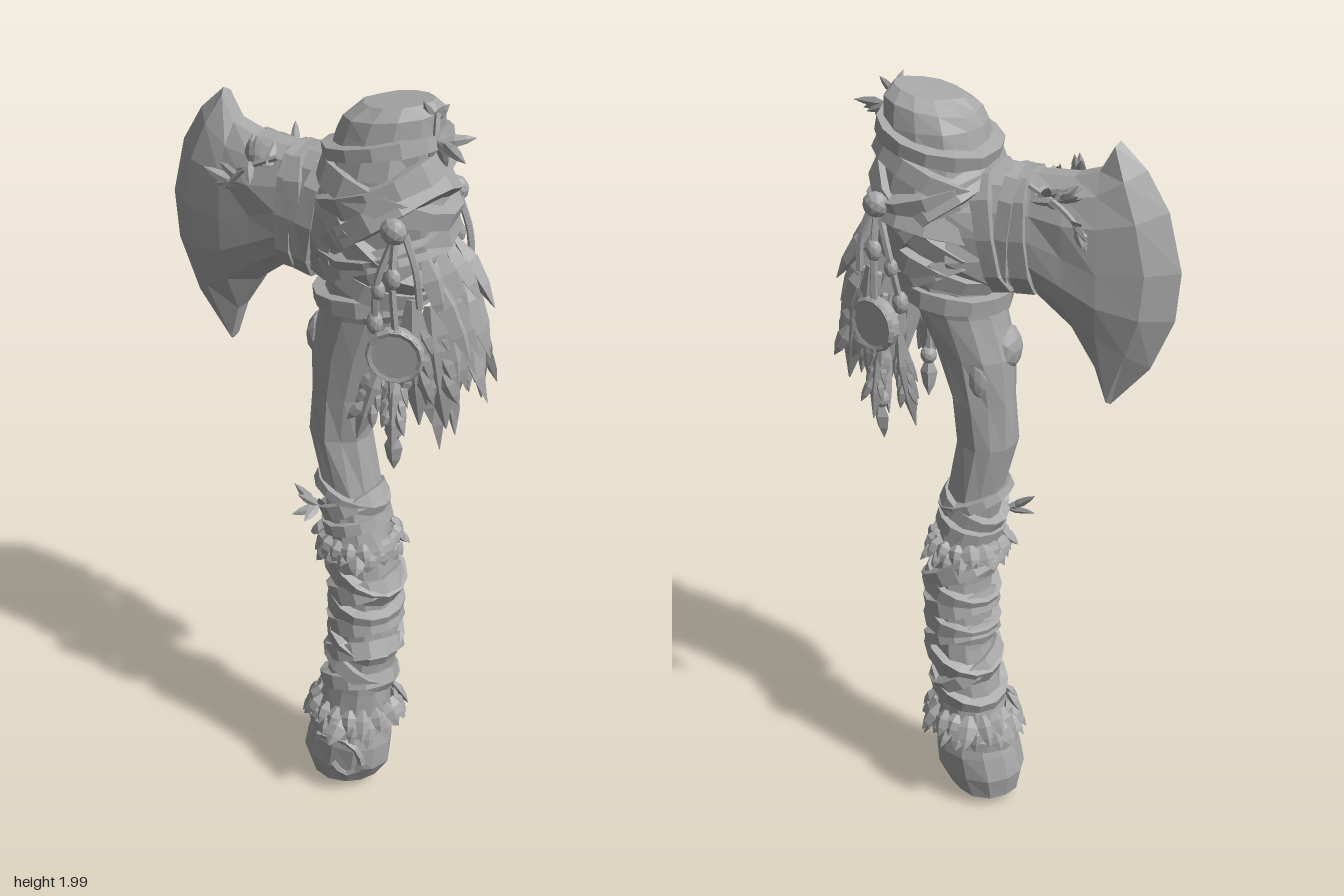
import * as THREE from 'three';
import { mergeGeometries } from 'three/addons/utils/BufferGeometryUtils.js';

const V = (x, y, z) => new THREE.Vector3(x, y, z);
let seed = 7;
const rnd = () => (seed = (seed * 16807) % 2147483647) / 2147483647;
const vary = (v, k = 0.25) => v * (1 + k * (rnd() * 2 - 1));

// Faceted skin through rings of points; 'closed' joins last ring to the first
function loft(rings, closed = false) {
  const tris = [], n = rings[0].length;
  const last = closed ? rings.length : rings.length - 1;
  for (let i = 0; i < last; i++) {
    const a = rings[i], b = rings[(i + 1) % rings.length];
    for (let j = 0; j < n; j++) {
      const k = (j + 1) % n;
      tris.push([a[j], b[j], b[k]], [a[j], b[k], a[k]]);
    }
  }
  if (!closed) [rings[0], rings[rings.length - 1]].forEach((r, end) => {
    const c = r.reduce((s, p) => s.add(p), V(0, 0, 0)).divideScalar(n);
    for (let j = 0; j < n; j++) {
      const k = (j + 1) % n;
      tris.push(end ? [c, r[k], r[j]] : [c, r[j], r[k]]);
    }
  });
  // Turn the skin outward when its enclosed volume comes out negative
  const o = rings[0][0];
  const sub = (p) => p.clone().sub(o);
  const vol = tris.reduce((s, [a, b, c]) => s + sub(a).dot(sub(b).cross(sub(c))), 0);
  const pos = tris.flatMap(([a, b, c]) => (vol < 0 ? [a, c, b] : [a, b, c])).flatMap((p) => p.toArray());
  const g = new THREE.BufferGeometry();
  g.setAttribute('position', new THREE.Float32BufferAttribute(pos, 3));
  g.computeVertexNormals();
  return g;
}

function faceted(geo) {
  const g = geo.index ? geo.toNonIndexed() : geo;
  g.deleteAttribute('uv');
  g.computeVertexNormals();
  return g;
}

// Haft stations: y, centre x, half width in x, half width in z
const haft = [
  [0.005, 0.045, 0.05, 0.04], [0.035, 0.048, 0.092, 0.078], [0.1, 0.06, 0.12, 0.098], [0.17, 0.07, 0.116, 0.1],
  [0.23, 0.075, 0.1, 0.093], [0.35, 0.09, 0.085, 0.086], [0.5, 0.11, 0.083, 0.086], [0.7, 0.11, 0.08, 0.084],
  [0.82, 0.09, 0.076, 0.08], [0.95, 0.065, 0.07, 0.075], [1.1, 0.035, 0.074, 0.078], [1.22, 0.043, 0.083, 0.083],
  [1.34, 0.062, 0.1, 0.09], [1.45, 0.095, 0.108, 0.1], [1.52, 0.125, 0.12, 0.115], [1.62, 0.15, 0.135, 0.128],
  [1.72, 0.155, 0.143, 0.138], [1.82, 0.15, 0.132, 0.13], [1.9, 0.158, 0.12, 0.115], [1.945, 0.168, 0.113, 0.103],
  [1.972, 0.18, 0.085, 0.07],
];
function station(y) {
  let i = 0;
  while (i < haft.length - 2 && haft[i + 1][0] < y) i++;
  const a = haft[i], b = haft[i + 1], t = THREE.MathUtils.clamp((y - a[0]) / (b[0] - a[0]), 0, 1);
  return a.map((v, k) => v + (b[k] - v) * t);
}
function onHaft(y, a, off = 0) {
  const [, cx, rx, rz] = station(y);
  const slope = y > 1.92 ? 0.14 : 0; // the crown is cut at a slant
  return V(cx + (rx + off) * Math.cos(a), y + slope * rx * Math.cos(a), (rz + off) * Math.sin(a));
}

// Flat strap round a loop of points, its outside facing away from the centre
function strap(points, w, t) {
  const c = points.reduce((s, p) => s.add(p), V(0, 0, 0)).divideScalar(points.length), n = points.length;
  return loft(points.map((p, i) => {
    const tan = points[(i + 1) % n].clone().sub(points[(i + n - 1) % n]).normalize();
    const out = p.clone().sub(c);
    out.addScaledVector(tan, -out.dot(tan)).normalize();
    const side = tan.clone().cross(out).multiplyScalar(vary(w, 0.18) / 2);
    const lo = p.clone().addScaledVector(out, -0.02), hi = p.clone().addScaledVector(out, t);
    return [lo.clone().add(side), hi.clone().addScaledVector(side, 0.85), hi.clone().addScaledVector(side, -0.85), lo.clone().sub(side)];
  }), true);
}
function haftStrap(y, tx, tz, w, t = 0.014) {
  const pts = [];
  for (let i = 0; i < 14; i++) {
    const a = (i / 14) * Math.PI * 2;
    pts.push(onHaft(y + tx * Math.cos(a) + tz * Math.sin(a), a, 0.002));
  }
  return strap(pts, w, t);
}

// Pointed blade of leaf or fur
function leaf(base, dir, face, len, w, thick = 0.008) {
  const d = dir.clone().normalize(), s = d.clone().cross(face).normalize(), f = s.clone().cross(d);
  return loft([[0, 0.35], [0.35, 1], [0.7, 0.7], [1, 0.05]].map(([t, k]) => {
    const p = base.clone().addScaledVector(d, t * len).addScaledVector(f, -0.08 * len * t * t);
    return [[1, 0], [0, 1], [-1, 0], [0, -1]].map(([a, b]) =>
      p.clone().addScaledVector(s, a * k * w / 2).addScaledVector(f, b * k * thick));
  }));
}
// Feather: a broad leaf with ragged barbs down both edges
function feather(base, dir, face, len, w) {
  const d = dir.clone().normalize(), s = d.clone().cross(face).normalize();
  const parts = [leaf(base, d, face, len, w, 0.016)];
  for (let i = 0; i < 3; i++) for (const m of [-1, 1]) {
    const p = base.clone().addScaledVector(d, len * (0.2 + i * 0.17)).addScaledVector(s, m * w * 0.15);
    parts.push(leaf(p, d.clone().addScaledVector(s, m * vary(0.35)), face, vary(len * 0.28), w * 0.45));
  }
  return mergeGeometries(parts);
}
function skirt(y, count, len, flare) {
  const parts = [];
  for (let row = 0; row < 2; row++) for (let i = 0; i < count; i++) {
    const a = ((i + row / 2) / count) * Math.PI * 2, out = V(Math.cos(a), 0, Math.sin(a));
    const dir = out.clone().multiplyScalar(vary(flare, 0.4)).add(V((rnd() - 0.5) * 0.5, -1, (rnd() - 0.5) * 0.5));
    parts.push(leaf(onHaft(y + row * 0.025, a, 0.008), dir, out, vary(len), vary(0.05), 0.014));
  }
  return mergeGeometries(parts);
}
function sprig(base, dir, count, len) {
  const parts = [];
  for (let i = 0; i < count; i++) {
    const d = dir.clone().add(V(rnd() - 0.5, rnd() - 0.5, (rnd() - 0.5) * 0.7).multiplyScalar(1.4));
    const p = base.clone().addScaledVector(dir, i / count * 0.05);
    parts.push(leaf(p, d, V(0.2, 0.3, 1), vary(len), len * 0.45, 0.005));
  }
  return mergeGeometries(parts);
}
const cord = (pts, r = 0.009) => faceted(new THREE.TubeGeometry(new THREE.CatmullRomCurve3(pts), 10, r, 5));
function blob(p, sx, sy, sz) {
  return faceted(new THREE.IcosahedronGeometry(1, 1).scale(sx, sy, sz).translate(p.x, p.y, p.z));
}

export function createModel() {
  const root = new THREE.Group();
  root.name = 'axe';
  const stone = new THREE.MeshStandardMaterial({ color: 0xa8a8a8 });
  stone.name = 'plain grey';
  const add = (name, ...geos) => {
    const m = new THREE.Mesh(geos.length > 1 ? mergeGeometries(geos) : geos[0], stone);
    m.name = name;
    root.add(m);
  };

  // Bent wooden haft with pommel and knots
  add('haft', loft(haft.map(([y]) => Array.from({ length: 12 }, (_, j) =>
    onHaft(y, (j / 12) * Math.PI * 2, (rnd() - 0.5) * 0.01)))));
  add('haftKnots', blob(V(-0.012, 1.355, 0.01), 0.038, 0.06, 0.05), blob(V(0.03, 1.3, -0.066), 0.03, 0.06, 0.022));
  add('pommelSwirl', cord([V(0.02, 0.19, 0.09), V(0.12, 0.19, 0.085), V(0.145, 0.12, 0.072), V(0.1, 0.085, 0.086), V(0.07, 0.12, 0.096)], 0.011));

  // Axe blade: columns from cutting edge to neck, top to bottom
  const columns = [
    [0, [-0.29, 1.91], [-0.355, 1.85], [-0.41, 1.76], [-0.445, 1.62], [-0.435, 1.5], [-0.38, 1.37], [-0.285, 1.26]],
    [0.055, [-0.283, 1.9], [-0.315, 1.83], [-0.35, 1.74], [-0.375, 1.62], [-0.365, 1.51], [-0.33, 1.41], [-0.278, 1.27]],
    [0.07, [-0.25, 1.84], [-0.255, 1.79], [-0.26, 1.72], [-0.265, 1.61], [-0.265, 1.53], [-0.26, 1.45], [-0.25, 1.36]],
    [0.074, [-0.19, 1.82], [-0.18, 1.78], [-0.18, 1.72], [-0.18, 1.64], [-0.18, 1.57], [-0.185, 1.51], [-0.19, 1.455]],
    [0.076, [-0.1, 1.815], [-0.1, 1.79], [-0.1, 1.73], [-0.1, 1.67], [-0.1, 1.61], [-0.1, 1.56], [-0.1, 1.525]],
    [0.098, [0, 1.82], [0, 1.79], [0, 1.73], [0, 1.67], [0, 1.61], [0, 1.55], [0, 1.51]],
    [0.13, [0.08, 1.82], [0.08, 1.79], [0.08, 1.73], [0.08, 1.67], [0.08, 1.61], [0.08, 1.55], [0.08, 1.5]],
  ];
  const bulge = [0.3, 0.75, 1, 1, 1, 0.75, 0.3];
  add('blade', loft(columns.map(([z, ...pts]) => {
    const front = pts.map(([x, y], i) => V(x, y, vary(z, 0.08) * bulge[i]));
    return [...front, ...front.map((p) => V(p.x, p.y, -p.z)).reverse()];
  })));

  // Straps round the blade neck
  const neckStrap = (x, lean, w, z) => strap(Array.from({ length: 12 }, (_, i) => {
    const a = (i / 12) * Math.PI * 2, c = Math.cos(a), s = Math.sin(a);
    const q = (v) => Math.sign(v) * Math.abs(v) ** 0.7;
    return V(x + lean * c, 1.67 + 0.143 * q(c), z * q(s));
  }), w, 0.012);
  add('neckStraps', neckStrap(-0.075, 0.012, 0.05, 0.08), neckStrap(-0.04, -0.02, 0.045, 0.086), neckStrap(-0.005, 0.03, 0.05, 0.1));

  // Crossed straps binding the head
  add('headStraps', ...[
    [1.69, 0.11, 0.02, 0.055], [1.68, -0.12, -0.02, 0.06], [1.6, 0.06, 0.02, 0.05], [1.57, -0.05, 0, 0.05], [1.76, -0.04, 0.03, 0.06],
    [1.79, 0.06, -0.02, 0.06], [1.87, 0.03, 0.01, 0.04], [1.5, 0.015, 0, 0.045], [1.66, 0.02, -0.05, 0.07],
  ].map(([y, a, b, w]) => haftStrap(y, a, b, w, 0.02)));

  // Grip wrapping, crossing back and forth, with ties above and below
  const grip = [];
  for (let i = 0; i < 9; i++) grip.push(haftStrap(0.37 + i * 0.05, (i % 2 ? -1 : 1) * vary(0.035, 0.5), (rnd() - 0.5) * 0.06, vary(0.05)));
  add('gripStraps', ...grip, haftStrap(0.86, 0.02, 0, 0.04), haftStrap(0.91, 0.035, 0, 0.04), haftStrap(0.94, -0.03, 0.01, 0.03), haftStrap(0.225, 0.015, 0, 0.035));

  // Fur trims on the grip
  add('lowerFur', skirt(0.285, 18, 0.075, 0.7));
  add('upperFur', skirt(0.805, 17, 0.05, 0.8));

  // Shaggy feathers hanging behind the head, fullest in the middle rows
  const back = [];
  for (let row = 0; row < 6; row++) for (let i = -2; i <= 2; i++) {
    const y = 1.65 - row * 0.055, z = i * 0.03 + (rnd() - 0.5) * 0.02;
    const dir = V(vary(0.8, 0.25) - row * 0.1 - Math.abs(i) * 0.08, -1, i * 0.05);
    const x = 0.29 + 0.035 * Math.sin(row * 0.63) + 0.008 * (2 - Math.abs(i));
    back.push(leaf(V(x, y, z), dir, V(1, 0.5, i * 0.25), vary(0.18), 0.058, 0.024));
  }
  add('backFeathers', ...back);

  // Charms and feathers on each cheek of the head
  for (const s of [1, -1]) {
    const p = (x, y, z) => V(x, y, z * s), out = V(0.25, 0, s);
    add('cheekFeathers',
      feather(p(0.285, 1.56, 0.11), p(0.08, -1, 0.04), out, 0.32, 0.085),
      feather(p(0.215, 1.4, 0.11), p(-0.22, -1, 0.22), out, 0.23, 0.065),
      feather(p(0.315, 1.54, 0.08), p(0.2, -1, 0.1), out, 0.3, 0.09),
      feather(p(0.25, 1.4, 0.112), p(0.1, -1, 0.3), out, 0.22, 0.06));
    const disc = new THREE.CylinderGeometry(0.065, 0.065, 0.03, 14).rotateX(Math.PI / 2).rotateY(s * 0.3).translate(0.262, 1.43, 0.14 * s);
    const rim = new THREE.TorusGeometry(0.06, 0.009, 5, 14).rotateY(s * 0.3).translate(0.265, 1.43, 0.149 * s);
    add('discCharm', faceted(disc), faceted(rim));
    add('cords',
      cord([p(0.25, 1.74, 0.13), p(0.255, 1.62, 0.15), p(0.262, 1.49, 0.143)]),
      cord([p(0.25, 1.72, 0.13), p(0.215, 1.6, 0.147), p(0.2, 1.49, 0.13)]),
      cord([p(0.27, 1.72, 0.125), p(0.3, 1.64, 0.125), p(0.31, 1.55, 0.12)]),
      cord([p(0.25, 1.38, 0.138), p(0.255, 1.3, 0.138), p(0.258, 1.22, 0.135)]));
    add('beads', blob(p(0.25, 1.73, 0.142), 0.032, 0.032, 0.024), blob(p(0.255, 1.62, 0.15), 0.02, 0.028, 0.016),
      blob(p(0.215, 1.58, 0.143), 0.017, 0.025, 0.015), blob(p(0.2, 1.49, 0.13), 0.02, 0.03, 0.018), blob(p(0.258, 1.23, 0.135), 0.022, 0.024, 0.02));
    add('pendant', leaf(p(0.258, 1.22, 0.135), V(0, -1, 0), out, 0.1, 0.045, 0.016));
    // Leafy twigs where the blade meets the neck
    add('neckLeaves', cord([p(-0.24, 1.7, 0.074), p(-0.18, 1.76, 0.074), p(-0.1, 1.8, 0.066)], 0.007),
      sprig(p(-0.2, 1.73, 0.072), V(-0.6, -0.3, 0), 6, 0.06), sprig(p(-0.16, 1.77, 0.07), V(-0.3, 0.2, 0.1), 6, 0.06),
      sprig(p(-0.12, 1.78, 0.07), V(-0.4, -0.1, 0.1), 5, 0.055));
  }

  // Leaf sprigs on the crown and haft
  add('crownLeaves', cord([V(0.26, 1.84, 0.03), V(0.285, 1.9, 0.03), V(0.28, 1.965, 0.01)], 0.008),
    sprig(V(0.29, 1.91, 0.03), V(0.5, 0, 0.1), 6, 0.06), sprig(V(0.27, 1.94, 0.01), V(0.1, 0.3, 0), 4, 0.05));
  add('haftLeaves', sprig(V(0.01, 0.88, 0.04), V(-0.5, 0.2, 0.3), 5, 0.06));
  return root;
}
